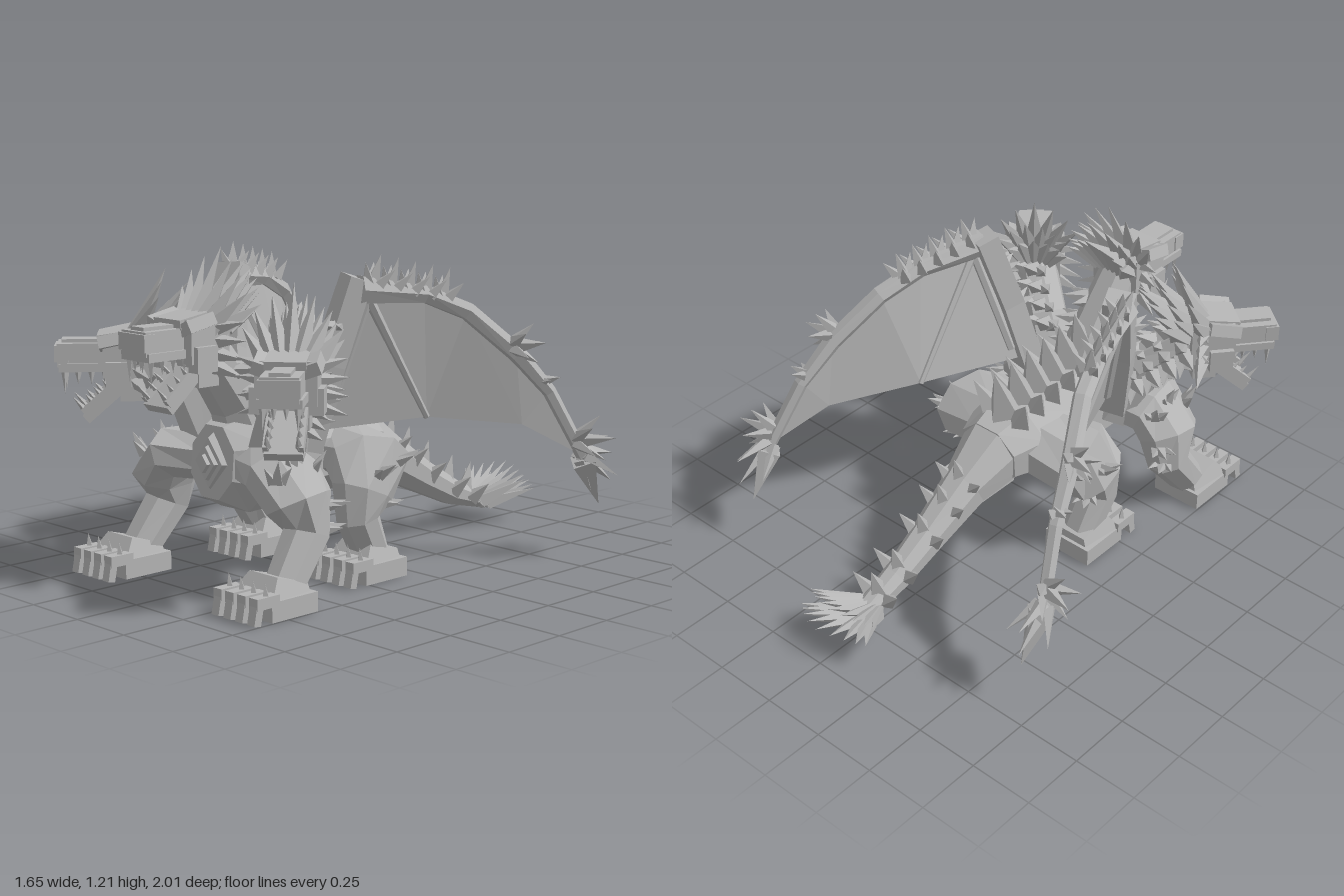
import * as THREE from 'three';
import { mergeGeometries } from 'three/addons/utils/BufferGeometryUtils.js';

const stone = new THREE.MeshStandardMaterial({ color: 0xb4b4b4 });
stone.name = 'stone grey';
const wingSkin = stone.clone();
wingSkin.name = 'wing skin grey';
wingSkin.side = THREE.DoubleSide;
const V = (x, y, z) => new THREE.Vector3(x, y, z);

// Adds a flat-faced mesh
function add(parent, name, geo, mat = stone) {
  const g = geo.index ? geo.toNonIndexed() : geo;
  g.computeVertexNormals();
  const m = new THREE.Mesh(g, mat);
  m.name = name;
  parent.add(m);
  return m;
}

function box(parent, name, w, h, d, x, y, z, rx = 0, ry = 0, rz = 0) {
  const m = add(parent, name, new THREE.BoxGeometry(w, h, d));
  m.position.set(x, y, z);
  m.rotation.set(rx, ry, rz);
  return m;
}

// Skins rings [x, y, z, halfWidth, halfHeight] along a path
function loft(parent, name, rings, n = 8, ref = V(0, 1, 0)) {
  const c = rings.map(r => V(r[0], r[1], r[2])), pos = [], idx = [];
  rings.forEach((r, i) => {
    const t = c[Math.min(i + 1, c.length - 1)].clone().sub(c[Math.max(i - 1, 0)]).normalize();
    const side = ref.clone().cross(t).normalize(), up = t.clone().cross(side);
    for (let k = 0; k < n; k++) {
      const a = ((k + 0.5) / n) * Math.PI * 2;
      const p = c[i].clone().addScaledVector(side, Math.cos(a) * r[3]).addScaledVector(up, Math.sin(a) * (r[4] ?? r[3]));
      pos.push(p.x, p.y, p.z);
    }
  });
  const last = (rings.length - 1) * n;
  for (let k = 0; k < n; k++) {
    const j = (k + 1) % n;
    for (let o = 0; o < last; o += n) idx.push(o + k, o + j, o + n + j, o + k, o + n + j, o + n + k);
    if (k > 0 && k < n - 1) idx.push(0, k + 1, k, last, last + k, last + k + 1);
  }
  const g = new THREE.BufferGeometry();
  g.setAttribute('position', new THREE.Float32BufferAttribute(pos, 3));
  g.setIndex(idx);
  return add(parent, name, g);
}

// Four-sided spike standing at p and pointing along d
function spike(p, d, len, r) {
  const g = new THREE.ConeGeometry(r, len, 4);
  g.translate(0, len * 0.45, 0);
  g.applyQuaternion(new THREE.Quaternion().setFromUnitVectors(V(0, 1, 0), d.clone().normalize()));
  return g.translate(p.x, p.y, p.z);
}

// Cluster: one long spike with n shorter ones leaning outward
function tuft(p, d, n, lean, len, r) {
  const axis = d.clone().normalize();
  const u = (Math.abs(axis.y) > 0.9 ? V(1, 0, 0) : V(0, 1, 0)).cross(axis).normalize();
  const v = axis.clone().cross(u), out = [spike(p, axis, len, r)];
  for (let i = 0; i < n; i++) {
    const a = (i / n) * Math.PI * 2;
    const o = u.clone().multiplyScalar(Math.cos(a)).addScaledVector(v, Math.sin(a));
    out.push(spike(p.clone().addScaledVector(o, r * 0.7), axis.clone().addScaledVector(o, lean), len * 0.75, r * 0.8));
  }
  return out;
}
const addSpikes = (parent, name, list) => add(parent, name, mergeGeometries(list.flat()));

function makeHead(name, x, y, z, yaw) {
  const h = new THREE.Group();
  h.name = name;
  h.position.set(x, y, z);
  h.rotation.y = yaw;
  box(h, 'skull', 0.21, 0.15, 0.17, 0, 0.02, 0.02);
  box(h, 'browPlate', 0.14, 0.035, 0.15, 0, 0.09, 0.05, 0.15);
  box(h, 'snout', 0.13, 0.085, 0.2, 0, 0.025, 0.17);
  box(h, 'noseRidge', 0.07, 0.03, 0.13, 0, 0.065, 0.19);
  box(h, 'noseTip', 0.14, 0.06, 0.05, 0, 0.03, 0.255);
  box(h, 'upperLip', 0.15, 0.03, 0.2, 0, -0.02, 0.165);
  box(h, 'throat', 0.14, 0.13, 0.09, 0, -0.08, 0);
  // Dropped lower jaw with upright teeth
  const jaw = new THREE.Group();
  jaw.name = 'jaw';
  jaw.position.set(0, -0.08, 0.02);
  jaw.rotation.x = 0.72;
  h.add(jaw);
  box(jaw, 'jawBone', 0.13, 0.035, 0.2, 0, 0, 0.1);
  const upper = [], lower = [], ruff = [];
  for (const s of [-1, 1]) {
    box(h, 'brow', 0.08, 0.045, 0.12, s * 0.075, 0.075, 0.06, 0.2, 0, s * 0.35);
    box(h, 'cheek', 0.05, 0.09, 0.09, s * 0.1, -0.04, 0.05);
    box(jaw, 'jawRim', 0.02, 0.03, 0.18, s * 0.058, 0.025, 0.1);
    for (let i = 0; i < 4; i++) {
      upper.push(spike(V(s * 0.058, -0.03, 0.1 + i * 0.048), V(0, -1, 0), i === 3 ? 0.09 : 0.055, 0.014));
      lower.push(spike(V(s * 0.052, 0.03, 0.06 + i * 0.04), V(0, 1, 0), i === 3 ? 0.07 : 0.045, 0.013));
    }
    upper.push(spike(V(s * 0.02, -0.03, 0.25), V(0, -1, 0), 0.05, 0.013));
    for (let i = 0; i < 4; i++)
      ruff.push(spike(V(s * 0.09, 0.06 - i * 0.045, -0.02), V(s, 0.25 - i * 0.2, -0.4), 0.12, 0.03));
  }
  addSpikes(h, 'upperTeeth', upper);
  addSpikes(jaw, 'lowerTeeth', lower);
  addSpikes(h, 'cheekSpikes', ruff);
  // Mane: fans of broad spikes swept up and back
  const mane = [];
  for (let row = 0; row < 3; row++)
    for (let i = -3; i <= 3; i++) {
      const a = i * 0.27 + (row % 2) * 0.13;
      mane.push(spike(V(Math.sin(a) * 0.1, 0.02 + Math.cos(a) * 0.06, -0.01 - row * 0.04),
        V(Math.sin(a) * 0.8, Math.cos(a), -0.45 - row * 0.3), 0.29 - Math.abs(i) * 0.035 - row * 0.02, 0.044));
    }
  addSpikes(h, 'mane', mane);
  return h;
}

function makeFoot(parent, name, x, z) {
  const foot = new THREE.Group();
  foot.name = name;
  foot.position.set(x, 0, z);
  parent.add(foot);
  box(foot, 'pad', 0.21, 0.07, 0.21, 0, 0.035, 0);
  loft(foot, 'ankle', [[0, 0.05, 0, 0.14, 0.14], [0, 0.12, -0.02, 0.1, 0.1]], 4, V(0, 0, 1));
  for (let i = 0; i < 4; i++) {
    const tx = (i - 1.5) * 0.06;
    box(foot, 'toe', 0.042, 0.04, 0.1, tx, 0.076, 0.125);
    box(foot, 'claw', 0.036, 0.08, 0.03, tx, 0.042, 0.165, -0.2);
    addSpikes(foot, 'toeSpike', [spike(V(tx, 0.095, 0.12), V(0, 1, 0.1), 0.05, 0.014)]);
  }
}

function makeLeg(root, name, s, rings, footX, footZ, spikes) {
  const leg = new THREE.Group();
  leg.name = name;
  root.add(leg);
  loft(leg, 'limb', rings.map(r => [r[0] * s, ...r.slice(1)]), 8, V(0, 0, 1));
  makeFoot(leg, 'foot', footX * s, footZ);
  addSpikes(leg, 'legSpikes', spikes.map(([x, y, z, dx, dy, dz]) => tuft(V(x * s, y, z), V(dx * s, dy, dz), 2, 0.5, 0.09, 0.027)));
}

function makeWing(root, s) {
  const wing = new THREE.Group();
  wing.name = s > 0 ? 'leftWing' : 'rightWing';
  root.add(wing);
  const arm = [[0.2, 0.55, 0.39], [0.35, 1.06, 0.27, 0.055, 0.05], [0.43, 1.03, 0.02, 0.035, 0.035],
    [0.49, 0.96, -0.14, 0.035, 0.035], [0.58, 0.8, -0.31, 0.035, 0.035], [0.63, 0.65, -0.44, 0.027, 0.027], [0.69, 0.4, -0.57, 0.025, 0.025]];
  const P = arm.map(r => V(r[0] * s, r[1], r[2]));
  const S = V(0.37 * s, 0.57, -0.06), T = V(0.57 * s, 0.53, -0.36);
  const seg = (name, list, n = 6, ref = V(s, 0, 0.2)) => loft(wing, name, list.map(r => [r[0] * s, ...r.slice(1)]), n, ref);
  seg('upperArm', [[0.2, 0.5, 0.39, 0.1, 0.06], [0.27, 0.8, 0.34, 0.085, 0.06], [0.33, 1.1, 0.26, 0.075, 0.06]], 4, V(-0.45 * s, 0, 1));
  seg('forearm', arm.slice(1));
  seg('strut', [[0.36, 1.05, 0.25, 0.02], [0.37, 0.57, -0.06, 0.012]]);
  seg('baseStrut', [[0.24, 0.6, 0.32, 0.02], [0.36, 1.04, 0.23, 0.02]]);
  // Skin stretched between arm, strut and trailing edge
  const tris = [P[0], P[1], S, P[1], P[2], S, P[2], P[3], S, P[3], T, S, P[3], P[4], T, P[4], P[5], T, P[5], P[6], T];
  add(wing, 'membrane', new THREE.BufferGeometry().setFromPoints(tris), wingSkin);
  // Arrow-shaped tip
  const tip = add(wing, 'wingTip', new THREE.ConeGeometry(0.06, 0.21, 4));
  tip.rotation.set(0.5, 0, Math.PI);
  tip.position.set(0.685 * s, 0.29, -0.63);
  const list = [];
  for (let i = 0; i < 5; i++) {
    const t = i / 4;
    list.push(tuft(V((0.37 + 0.08 * t) * s, 1.08 - 0.06 * t, 0.22 - 0.27 * t), V(0.2 * s, 1, -0.2), 3, 0.6, 0.11, 0.034));
  }
  for (const [x, y, z, len] of [[0.59, 0.83, -0.3, 0.12], [0.69, 0.46, -0.55, 0.15]])
    list.push(tuft(V(x * s, y, z), V(s, 0.15, -0.35), 5, 0.8, len, 0.033));
  list.push(tuft(V(0.62 * s, 0.69, -0.42), V(s, 0.3, -0.4), 2, 0.6, 0.07, 0.025));
  list.push(tuft(V(0.69 * s, 0.4, -0.57), V(0.1 * s, -0.6, -0.8), 4, 0.5, 0.2, 0.033));
  for (const t of [0.45, 0.75])
    list.push(tuft(P[0].clone().lerp(P[1], t).add(V(0, 0, 0.05)), V(0.2 * s, 0.2, 1), 2, 0.6, 0.09, 0.026));
  addSpikes(wing, 'wingSpikes', list);
}

export function createModel() {
  const root = new THREE.Group();
  root.name = 'threeHeadedBeast';

  // Body, chest and tail
  loft(root, 'body', [[0, 0.43, -0.08, 0.14, 0.13], [0, 0.44, 0.05, 0.19, 0.16], [0, 0.44, 0.3, 0.2, 0.18],
    [0, 0.44, 0.54, 0.2, 0.19], [0, 0.45, 0.65, 0.12, 0.14]]);
  for (const [r, z] of [[0.085, 0.655], [0.055, 0.67], [0.03, 0.685]]) {
    const gem = add(root, 'chestDiamond', new THREE.CylinderGeometry(r * 0.85, r, 0.025, 4));
    gem.rotation.x = Math.PI / 2;
    gem.scale.z = 1.25;
    gem.position.set(0, 0.45, z);
  }
  loft(root, 'tail', [[0, 0.43, -0.04, 0.14, 0.14], [0, 0.35, -0.22, 0.09, 0.095], [0, 0.24, -0.42, 0.068, 0.07],
    [0, 0.15, -0.6, 0.055, 0.055], [0, 0.095, -0.76, 0.045, 0.035], [0, 0.085, -0.83, 0.02, 0.015]]);

  // Spikes down the back and tail
  const back = [], tail = [], fan = [];
  for (let i = 0; i < 6; i++) {
    const z = 0.48 - i * 0.092;
    back.push(spike(V(0, 0.59 - i * 0.008, z), V(0, 1, -0.3), 0.25, 0.085));
    for (const s of [-1, 1]) back.push(spike(V(s * 0.06, 0.57 - i * 0.006, z), V(s * 0.5, 1, -0.3), 0.17, 0.062));
  }
  for (const [y, z] of [[0.4, -0.24], [0.34, -0.33], [0.27, -0.44], [0.19, -0.58], [0.145, -0.69]]) {
    tail.push(spike(V(0, y, z), V(0, 1, -0.3), 0.12, 0.042));
    for (const s of [-1, 1]) tail.push(spike(V(s * 0.045, y - 0.025, z), V(s, 0.9, -0.25), 0.1, 0.036));
  }
  for (let row = 0; row < 2; row++)
    for (let i = -4; i <= 4; i++)
      fan.push(spike(V(i * 0.012, 0.085 + row * 0.015, -0.79 + row * 0.04), V(i * 0.22, 0.4 + row * 0.25, -1), 0.25 - Math.abs(i) * 0.012, 0.034));
  addSpikes(root, 'backSpikes', back);
  addSpikes(root, 'tailSpikes', tail);
  addSpikes(root, 'tailFan', fan);

  // Middle neck and head
  loft(root, 'middleNeck', [[0, 0.48, 0.46, 0.13, 0.13], [0, 0.66, 0.54, 0.1, 0.1], [0, 0.88, 0.7, 0.085, 0.085]], 8, V(0, 0, 1));
  root.add(makeHead('middleHead', 0, 0.88, 0.72, 0));
  const ruff = [];
  for (const s of [-1, 1])
    for (let i = 0; i < 3; i++) ruff.push(tuft(V(s * 0.07, 0.62 + i * 0.08, 0.5 + i * 0.04), V(s * 0.7, 0.2, -0.7), 2, 0.5, 0.11, 0.038));
  addSpikes(root, 'middleNeckSpikes', ruff);

  for (const s of [-1, 1]) {
    const side = s > 0 ? 'left' : 'right';
    // Side neck, head and collar
    loft(root, side + 'Neck', [[0.14 * s, 0.43, 0.48, 0.12], [0.25 * s, 0.65, 0.53, 0.095], [0.39 * s, 0.78, 0.64, 0.085]], 8, V(0, 0, 1));
    root.add(makeHead(side + 'Head', 0.42 * s, 0.775, 0.665, 0.69 * s));
    const collar = [];
    for (let i = 0; i < 4; i++) {
      const t = i / 3, p = V((0.22 + 0.15 * t) * s, 0.61 + 0.14 * t, 0.5 + 0.1 * t);
      collar.push(tuft(p.clone().add(V(0.05 * s, 0, -0.04)), V(0.8 * s, 0, -0.6), 3, 0.6, 0.12, 0.042));
      collar.push(tuft(p.clone().add(V(-0.03 * s, 0.05, -0.03)), V(-0.2 * s, 0.6, -0.8), 2, 0.6, 0.12, 0.042));
    }
    addSpikes(root, side + 'NeckSpikes', collar);

    // Legs
    makeLeg(root, side + 'FrontLeg', s, [[0.13, 0.44, 0.53, 0.09, 0.12], [0.28, 0.44, 0.575, 0.1, 0.15], [0.36, 0.35, 0.57, 0.105, 0.135],
      [0.375, 0.24, 0.55, 0.09, 0.085], [0.39, 0.08, 0.67, 0.08, 0.07]], 0.39, 0.715,
      [[0.35, 0.45, 0.49, 0.4, 0.9, -0.4], [0.34, 0.47, 0.58, 0.4, 1, 0], [0.36, 0.44, 0.67, 0.4, 0.9, 0.3],
        [0.4, 0.33, 0.47, 0.8, 0.2, -0.6], [0.4, 0.25, 0.49, 0.5, 0.2, -1]]);
    makeLeg(root, side + 'HindLeg', s, [[0.1, 0.43, 0.12, 0.12, 0.16], [0.27, 0.42, 0.14, 0.12, 0.17], [0.3, 0.32, 0.2, 0.085, 0.135],
      [0.295, 0.23, 0.22, 0.075, 0.085], [0.28, 0.08, 0.14, 0.075, 0.07]], 0.28, 0.16,
      [[0.34, 0.42, 0.05, 0.6, 0.5, -0.7], [0.36, 0.39, 0.17, 1, 0.6, -0.1], [0.32, 0.27, 0.12, 0.6, 0.1, -1]]);
    makeWing(root, s);
  }
  return root;
}
